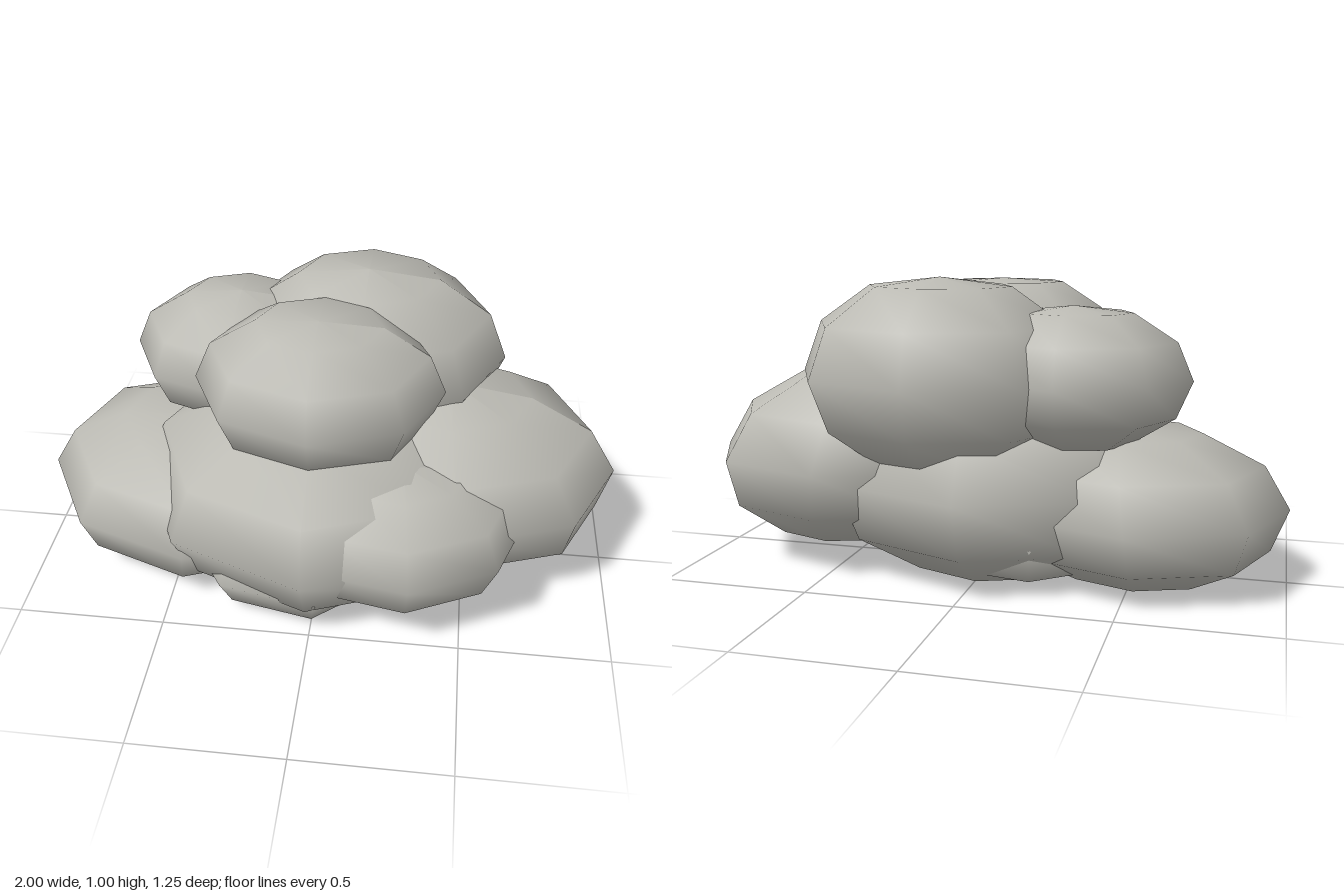
import * as THREE from 'three';

const stone = new THREE.MeshStandardMaterial({ color: 0xbbbab3 });
stone.name = 'stoneGrey';

// Low-poly boulder: an eight-sided ellipsoid with flattened poles.
// box below 1 squares its profile; shearZ and shearY lean it along x with depth
// and height, leanZ leans it forward with height, yaw turns it.
function boulder({ name, at, radii, pole, box = 1, shearZ = 0, shearY = 0, leanZ = 0, yaw = 0 }) {
  const geometry = new THREE.SphereGeometry(1, 8, 6);
  geometry.rotateY(Math.PI);
  const p = geometry.attributes.position;
  for (let i = 0; i < p.count; i++) {
    let y = p.getY(i);
    if (Math.abs(y) > 0.99) y = Math.sign(y) * pole;
    else if (Math.abs(y) > 0.01) y = Math.sign(y) * Math.abs(y) ** box;
    y *= radii[1];
    const z = p.getZ(i) * radii[2];
    const x = p.getX(i) * radii[0] + shearZ * z + shearY * y;
    p.setXYZ(i, x, y, z + leanZ * y);
  }
  geometry.computeVertexNormals();
  const mesh = new THREE.Mesh(geometry, stone);
  mesh.name = name;
  mesh.position.set(...at);
  mesh.rotation.y = yaw;
  return mesh;
}

const boulders = [
  // Bottom layer
  { name: 'coreBoulder', at: [-0.01, 0.33, 0.04], radii: [0.63, 0.365, 0.585], pole: 0.9, box: 0.95, leanZ: 0.09 },
  { name: 'baseBoulder', at: [-0.1, 0.17, 0.06], radii: [0.42, 0.17, 0.49], pole: 0.98, box: 0.5, yaw: 0.25 },
  { name: 'rightBoulder', at: [-0.475, 0.255, -0.02], radii: [0.525, 0.275, 0.47], pole: 0.92, box: 0.95, shearZ: 0.1, shearY: 0.1 },
  { name: 'leftBoulder', at: [0.48, 0.378, -0.035], radii: [0.52, 0.323, 0.44], pole: 1, shearY: -0.18 },
  { name: 'frontBoulder', at: [0.28, 0.34, 0.285], radii: [0.415, 0.25, 0.33], pole: 0.98, yaw: 0.13 },
  // Top layer
  { name: 'topFrontBoulder', at: [-0.01, 0.75, 0.1], radii: [0.41, 0.26, 0.34], pole: 0.905 },
  { name: 'topBackBoulder', at: [0.12, 0.69, -0.23], radii: [0.48, 0.33, 0.4], pole: 0.95 },
  { name: 'topRightBoulder', at: [-0.31, 0.69, -0.19], radii: [0.38, 0.24, 0.32], pole: 0.95 },
];

export function createModel() {
  const group = new THREE.Group();
  group.name = 'boulderPile';
  for (const b of boulders) group.add(boulder(b));
  return group;
}
